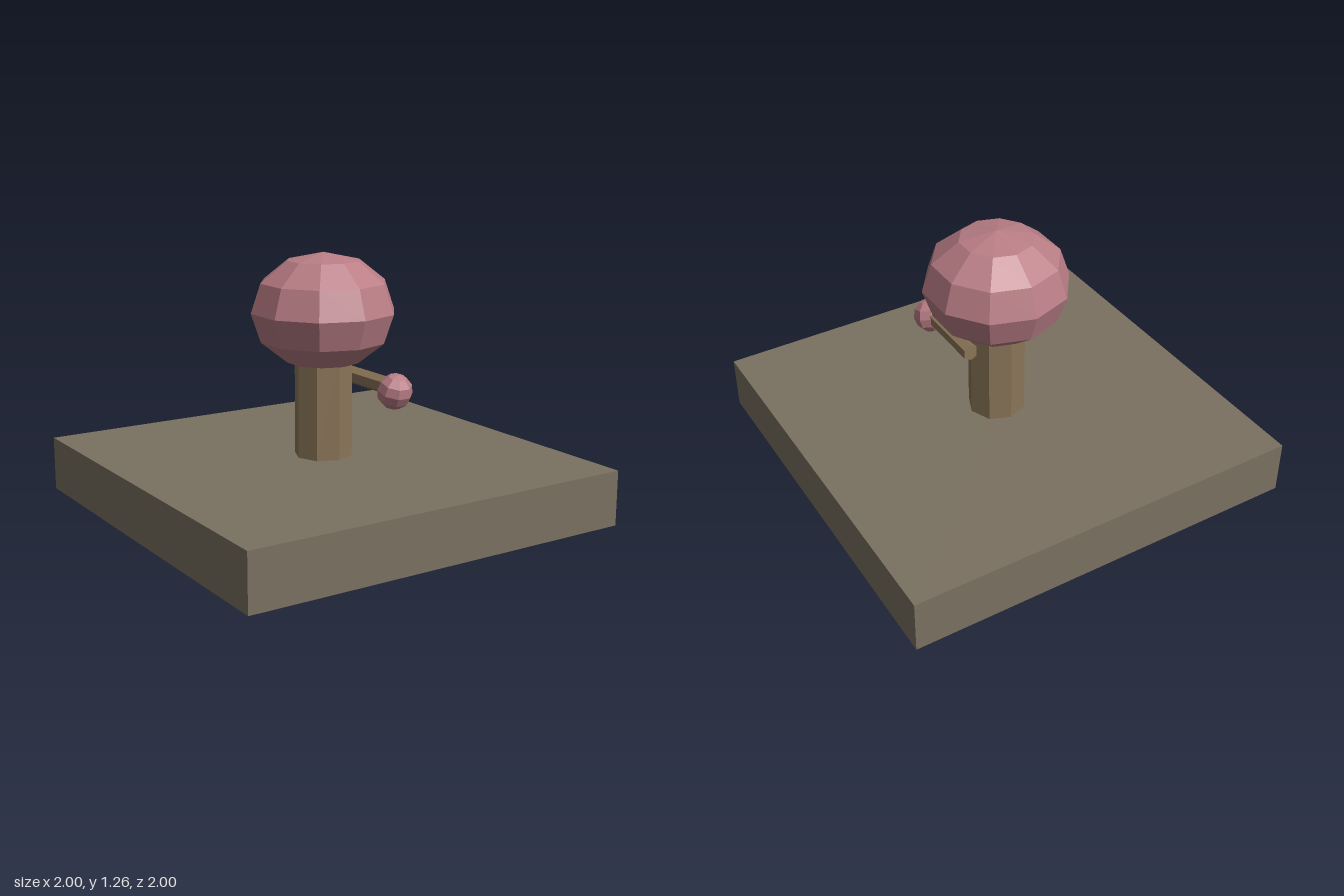
import * as THREE from 'three';

const material = (color) => new THREE.MeshStandardMaterial({ color, flatShading: true });

export function createModel() {
  const model = new THREE.Group();
  const earth = material(0x7a7161);
  const bark = material(0x8b7558);
  const leaf = material(0xb97d85);

  const add = (name, geometry, mat, x, y, z) => {
    const mesh = new THREE.Mesh(geometry, mat);
    mesh.name = name;
    mesh.position.set(x, y, z);
    model.add(mesh);
    return mesh;
  };

  // Square slab of ground
  add('ground', new THREE.BoxGeometry(2, 0.27, 2), earth, 0, 0.135, 0);

  // Eight-sided trunk reaching into the crown
  add('trunk', new THREE.CylinderGeometry(0.142, 0.142, 0.53, 8), bark, 0, 0.535, 0);

  // Squashed faceted crown, with a corner facing front
  const crown = new THREE.SphereGeometry(0.355, 10, 6);
  crown.rotateY(Math.PI / 2).scale(1, 0.797, 1);
  add('crown', crown, leaf, 0, 0.98, 0);

  // Six-sided branch running forward along the trunk's left side
  const branch = new THREE.CylinderGeometry(0.044, 0.044, 0.39, 6);
  branch.rotateX(Math.PI / 2);
  add('branch', branch, bark, 0.157, 0.652, 0.165);

  // Small tilted leaf ball at the branch tip
  const ball = new THREE.SphereGeometry(0.086, 8, 6);
  ball.rotateY(Math.PI / 8);
  add('leafBall', ball, leaf, 0.157, 0.636, 0.373).rotation.x = 0.3;

  return model;
}
